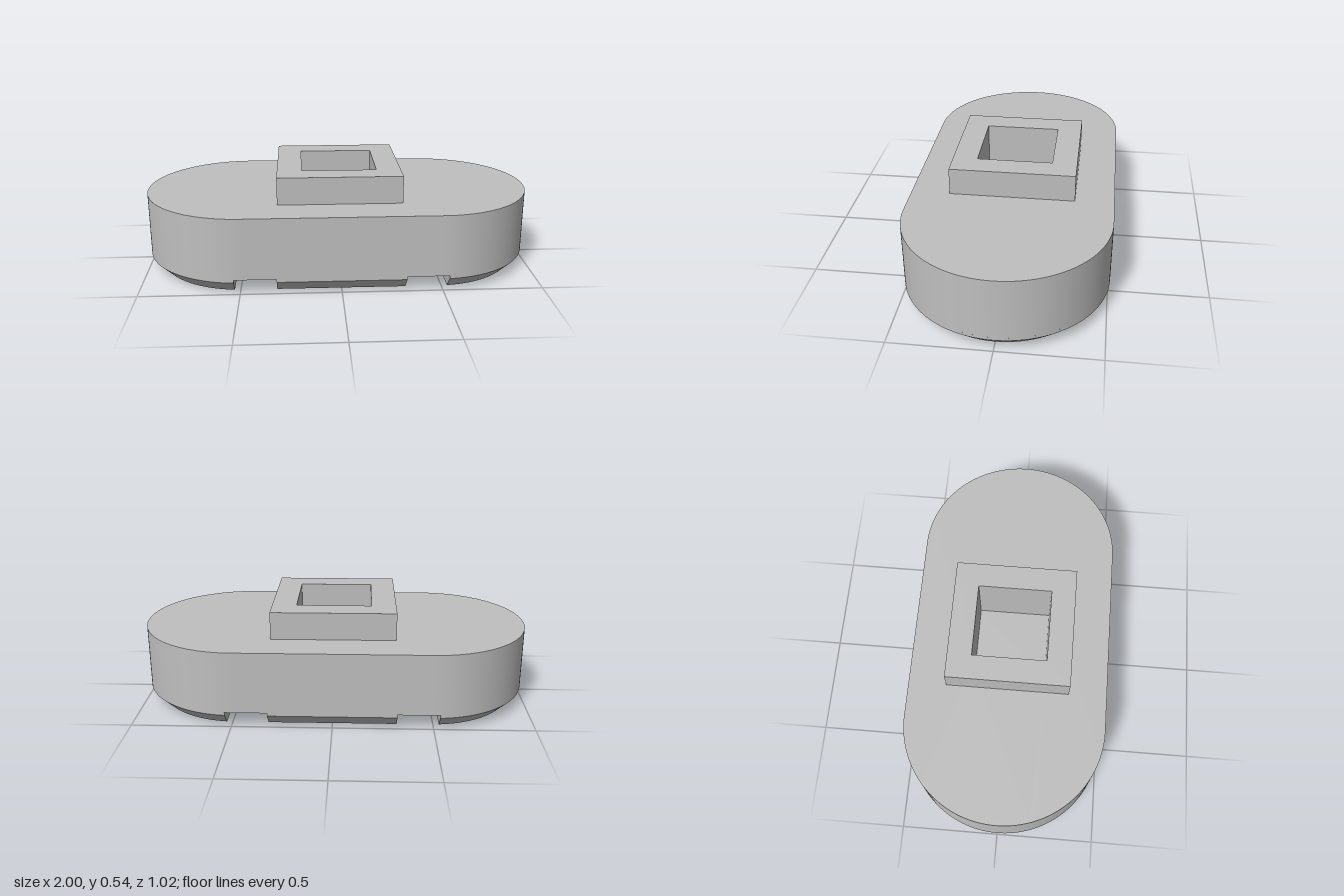
import * as THREE from 'three';
import { toCreasedNormals } from 'three/addons/utils/BufferGeometryUtils.js';

const R = 0.51, CX = 0.49;                            // rounded end radius and centre
const GROOVE_IN = 0.32, GROOVE_OUT = 0.53, GROOVE_TOP = 0.08;
const CHAMFER = 0.065, DECK = 0.395, TOP = 0.535;
const BOSS = 0.315, SOCKET = 0.19, SOCKET_FLOOR = 0.2;

const crease = (g) => toCreasedNormals(g, Math.PI / 6);

// Square outline of half-width h
function square(h, Type) {
  return new Type([[-h, -h], [h, -h], [h, h], [-h, h]].map(([x, y]) => new THREE.Vector2(x, y)));
}

// Upright extrusion of a plan shape, with the square socket cut through it
function plate(shape, y0, y1) {
  shape.holes.push(square(SOCKET, THREE.Path));
  const g = new THREE.ExtrudeGeometry(shape, { depth: y1 - y0, bevelEnabled: false, curveSegments: 48 });
  return crease(g.rotateX(-Math.PI / 2).translate(0, y0, 0));
}

// Pad with a chamfered foot; outline(r) gives [x, z] points for a half-width r
function pad(outline) {
  const rings = [[R - CHAMFER, 0], [R, CHAMFER], [R, GROOVE_TOP]]
    .map(([r, y]) => outline(r).map(([x, z]) => [x, y, z]));
  const n = rings[0].length, pos = [];
  for (let k = 0; k < 2; k++) {
    for (let i = 0; i < n; i++) {
      const j = (i + 1) % n, lo = rings[k], hi = rings[k + 1];
      pos.push(...lo[i], ...hi[i], ...lo[j], ...hi[i], ...hi[j], ...lo[j]);
    }
  }
  for (let i = 1; i < n - 1; i++) pos.push(...rings[0][0], ...rings[0][i], ...rings[0][i + 1]);
  const g = new THREE.BufferGeometry();
  g.setAttribute('position', new THREE.Float32BufferAttribute(pos, 3));
  return crease(g);
}

// Plan outlines of the underside pads
const middleOutline = (r) => [[-GROOVE_IN, -r], [GROOVE_IN, -r], [GROOVE_IN, r], [-GROOVE_IN, r]];
function endOutline(r) {
  const a = Math.acos((GROOVE_OUT - CX) / r), pts = [];
  for (let i = 0; i <= 64; i++) {
    const t = -a + (2 * a * i) / 64;
    pts.push([CX + r * Math.cos(t), r * Math.sin(t)]);
  }
  return pts;
}

export function createModel() {
  const group = new THREE.Group();
  const grey = new THREE.MeshStandardMaterial({ color: 0xbfbfbf });
  grey.name = 'plain grey';
  const add = (name, geometry) => {
    const mesh = new THREE.Mesh(geometry, grey);
    mesh.name = name;
    group.add(mesh);
    return mesh;
  };

  // Main body with two round ends
  const stadium = new THREE.Shape();
  stadium.moveTo(-CX, -R);
  stadium.lineTo(CX, -R);
  stadium.absarc(CX, 0, R, -Math.PI / 2, Math.PI / 2, false);
  stadium.lineTo(-CX, R);
  stadium.absarc(-CX, 0, R, Math.PI / 2, Math.PI * 1.5, false);
  add('body', plate(stadium, GROOVE_TOP, DECK));

  // Square collar and the floor of its socket
  add('collar', plate(square(BOSS, THREE.Shape), DECK, TOP));
  const floorHeight = SOCKET_FLOOR - GROOVE_TOP;
  add('socketFloor', new THREE.BoxGeometry(2 * SOCKET, floorHeight, 2 * SOCKET)
    .translate(0, GROOVE_TOP + floorHeight / 2, 0));

  // Three underside pads, separated by grooves
  add('middlePad', pad(middleOutline));
  const endPad = pad(endOutline);
  add('leftPad', endPad);
  add('rightPad', endPad).rotation.y = Math.PI;

  return group;
}
